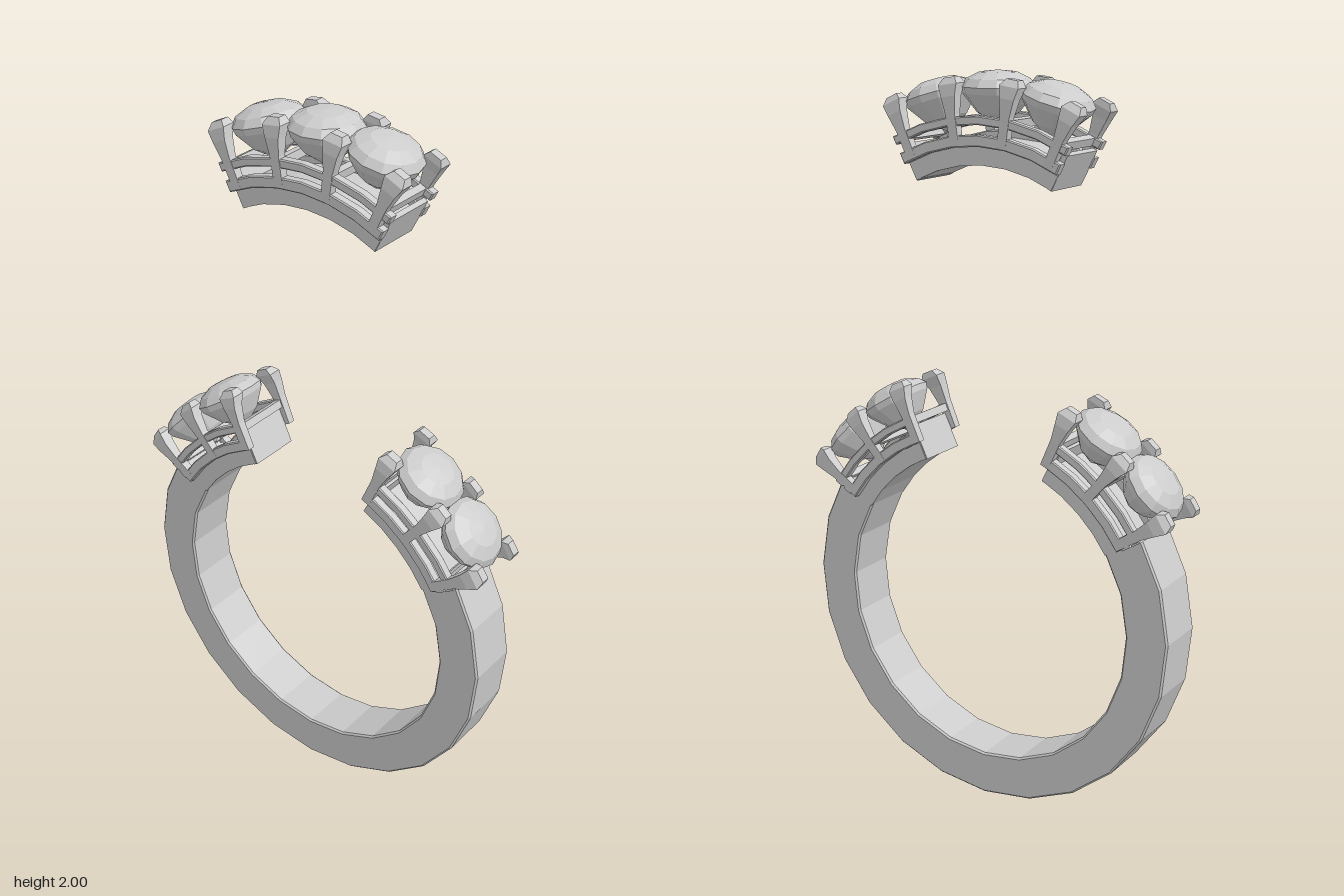
import * as THREE from 'three';

const DEG = Math.PI / 180;
const STEP = 16.3; // angle between neighbouring stones
const material = new THREE.MeshStandardMaterial({ color: 0xcccccc, flatShading: true, side: THREE.DoubleSide });

function add(parent, name, geometry) {
  const mesh = new THREE.Mesh(geometry, material);
  mesh.name = name;
  parent.add(mesh);
  return mesh;
}

// Curved bar around the ring axis: radii r0..r1, angles a0..a1 (degrees), depth z0..z1
function arcBar(r0, r1, a0, a1, z0, z1, segs, bevel) {
  const pts = [];
  const put = (r, a) => pts.push(new THREE.Vector2(r * Math.cos(a * DEG), r * Math.sin(a * DEG)));
  for (let i = 0; i <= segs; i++) put(r1 - bevel, a0 + (a1 - a0) * i / segs);
  for (let i = segs; i >= 0; i--) put(r0 + bevel, a0 + (a1 - a0) * i / segs);
  const g = new THREE.ExtrudeGeometry(new THREE.Shape(pts), {
    depth: z1 - z0 - 2 * bevel, bevelEnabled: bevel > 0, bevelSize: bevel, bevelThickness: bevel, bevelSegments: 1,
  });
  g.translate(0, 0, z0 + bevel);
  return g;
}

// Frame standing on the ring at an angle, its y axis pointing outwards
function station(parent, name, angle) {
  const g = new THREE.Group();
  g.name = name;
  g.rotation.z = (angle - 90) * DEG;
  parent.add(g);
  return g;
}

// Faceted round stone with a domed crown and pointed pavilion
function gemGeometry() {
  const profile = [[0, 0.53], [0.055, 0.568], [0.092, 0.615], [0.097, 0.632], [0.082, 0.652], [0.048, 0.668], [0, 0.673]];
  return new THREE.LatheGeometry(profile.map(([x, y]) => new THREE.Vector2(x, y)), 12);
}

// Claw that widens upwards and bends over the stone
function prongGeometry(side) {
  const g = new THREE.BoxGeometry(1, 1, 1, 2, 4, 1);
  const levels = [[0.49, 0.026, 0.076, 0.098], [0.57, 0.028, 0.076, 0.1], [0.615, 0.042, 0.07, 0.101],
    [0.645, 0.056, 0.058, 0.097], [0.662, 0.034, 0.06, 0.084]];
  const p = g.attributes.position;
  for (let i = 0; i < p.count; i++) {
    const [y, w, zIn, zOut] = levels[Math.round((p.getY(i) + 0.5) * 4)];
    const z = side * p.getZ(i) > 0 ? zOut : zIn;
    p.setXYZ(i, p.getX(i) * w, y, side * z);
  }
  if (side < 0) { // mirrored box needs its corner order kept
    for (let i = 0; i < p.count; i++) p.setZ(i, -Math.abs(p.getZ(i)));
  }
  g.computeVertexNormals();
  return g;
}

// One run of stones with its base, rails, claws and end walls
function setting(name, gems, a0, a1, cuts) {
  const group = new THREE.Group();
  group.name = name;
  const segs = gems.length * 2;
  add(group, 'settingBase', arcBar(0.44, 0.497, a0, a1, -0.077, 0.077, segs, 0));
  for (const s of [-1, 1]) {
    const [z0, z1] = s > 0 ? [0.072, 0.098] : [-0.098, -0.072];
    add(group, 'lowerRail', arcBar(0.488, 0.518, a0, a1, z0, z1, segs, 0.003));
    add(group, 'upperRail', arcBar(0.542, 0.565, a0, a1, z0, z1, segs, 0.003));
  }
  for (const a of gems) add(station(group, 'stone', a), 'gem', gemGeometry());
  for (let i = 0; i <= gems.length; i++) {
    const a = gems[0] + (i - 0.5) * STEP;
    const prongs = station(group, 'prongPair', a);
    for (const s of [-1, 1]) add(prongs, 'prong', prongGeometry(s));
    // Bridge between the two rails under each pair of claws
    const bridge = add(prongs, 'bridge', new THREE.BoxGeometry(0.02, 0.022, 0.17));
    bridge.position.y = 0.552;
  }
  // Rough wall where the head has been parted
  for (const a of cuts) {
    const wall = add(station(group, 'partedEnd', a), 'endWall', new THREE.BoxGeometry(0.014, 0.1, 0.15));
    wall.position.y = 0.488;
  }
  return group;
}

export function createModel() {
  const model = new THREE.Group();
  model.name = 'ring';
  const ring = new THREE.Group();
  ring.name = 'lowerRing';
  ring.position.y = 0.562;
  model.add(ring);

  // Plain band, open at the top
  add(ring, 'band', arcBar(0.44, 0.562, 147.5, 392.5, -0.076, 0.076, 16, 0.005));

  // Shoulder settings, two stones each
  const low = 90 - 3 * STEP, mid = 90 - 2 * STEP;
  ring.add(setting('leftShoulder', [low, mid], 31.5, 65, [64.5]));
  ring.add(setting('rightShoulder', [180 - mid, 180 - low], 115, 148.5, [115.5]));
  for (const a of [32, 148]) {
    const end = station(ring, 'shoulderEnd', a);
    for (const y of [0.52, 0.553]) {
      add(end, 'endBar', new THREE.BoxGeometry(0.022, 0.026, 0.194)).position.y = y;
    }
  }

  // Raised centre piece with three stones
  const top = setting('centrePiece', [90 - STEP, 90, 90 + STEP], 62.5, 117.5, [63.3, 116.7]);
  top.position.y = 1.327;
  model.add(top);
  return model;
}
